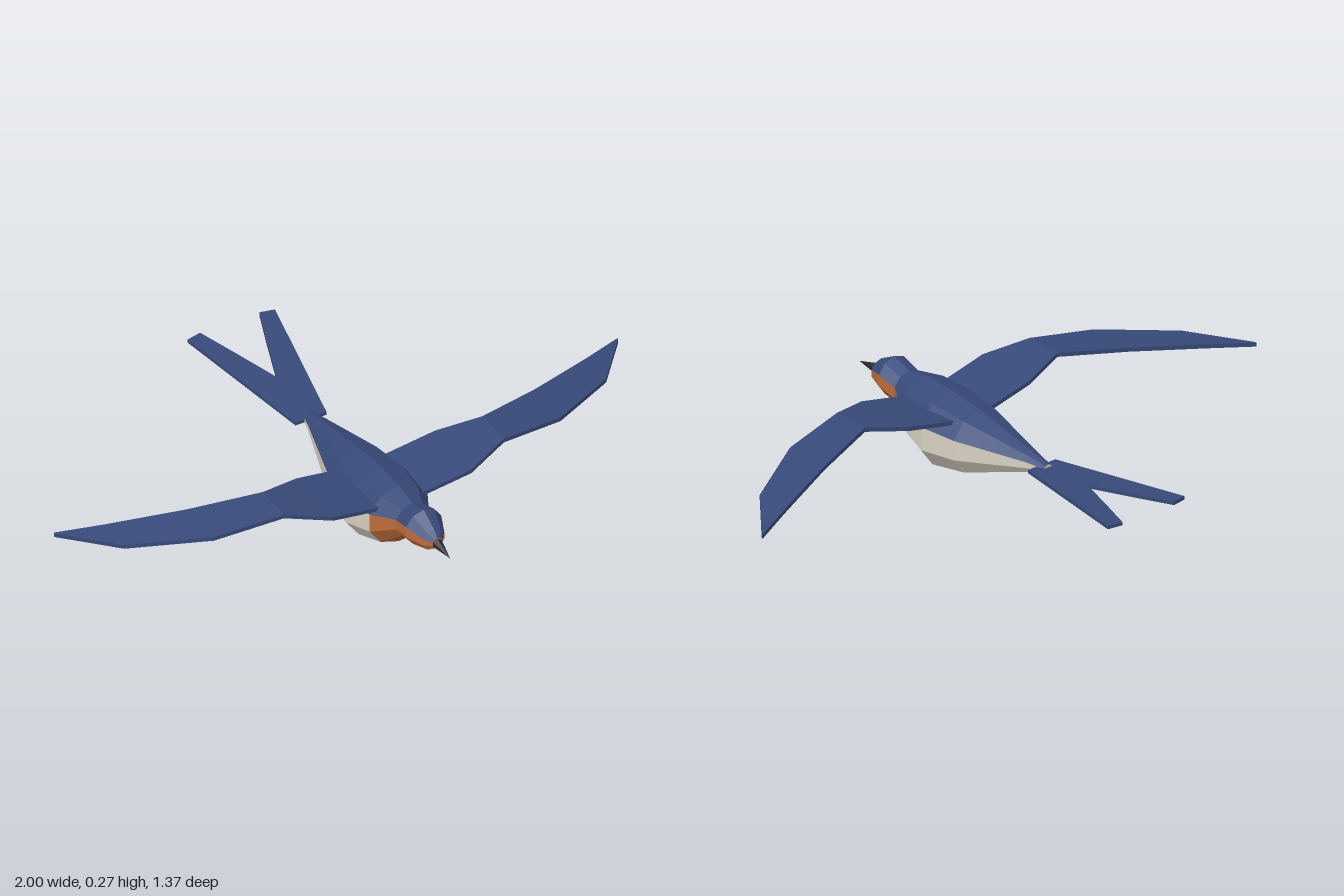
import * as THREE from 'three';

const mat = (color) => new THREE.MeshStandardMaterial({ color, flatShading: true });

// Flat-shaded mesh from quads (corners counter-clockwise from outside); flip for mirrored parts
function quadMesh(name, quads, material, flip = false) {
  const pos = [];
  for (const [a, b, c, d] of quads) {
    pos.push(...(flip ? [a, c, b, a, d, c] : [a, b, c, a, c, d]).flat());
  }
  const g = new THREE.BufferGeometry();
  g.setAttribute('position', new THREE.Float32BufferAttribute(pos, 3));
  g.computeVertexNormals();
  const mesh = new THREE.Mesh(g, material);
  mesh.name = name;
  return mesh;
}

// Thin plate from sections [front corner, back corner] running outwards along +x
function plate(name, sections, thickness, side, top, under) {
  const at = (p, dy) => [p[0] * side, p[1] + dy, p[2]];
  const up = (p) => at(p, thickness / 2), dn = (p) => at(p, -thickness / 2);
  const upper = [], lower = [];
  for (let i = 0; i + 1 < sections.length; i++) {
    const [f0, b0] = sections[i], [f1, b1] = sections[i + 1];
    upper.push([up(f0), up(f1), up(b1), up(b0)]);
    upper.push([dn(f0), dn(f1), up(f1), up(f0)], [up(b0), up(b1), dn(b1), dn(b0)]);
    lower.push([dn(b0), dn(b1), dn(f1), dn(f0)]);
  }
  const [fs, bs] = sections[0], [fe, be] = sections[sections.length - 1];
  upper.push([dn(bs), dn(fs), up(fs), up(bs)], [dn(fe), dn(be), up(be), up(fe)]);
  const group = new THREE.Group();
  group.name = name;
  group.add(quadMesh(name + 'Top', upper, top, side < 0), quadMesh(name + 'Underside', lower, under, side < 0));
  return group;
}

export function createModel() {
  const bird = new THREE.Group();
  bird.name = 'bird';
  const blue = mat(0x384a7a), rust = mat(0xbc6c3c), cream = mat(0xd8d0c2), dark = mat(0x2a2a2e);

  // Body: ten-sided rings [z, centre height, radius] from face to rump
  const rings = [
    [0.605, 0.197, 0.018], [0.582, 0.197, 0.04], [0.52, 0.204, 0.065], [0.45, 0.186, 0.061],
    [0.365, 0.153, 0.108], [0.25, 0.129, 0.129], [0.115, 0.133, 0.109],
    [-0.145, 0.159, 0.032], [-0.21, 0.161, 0.017],
  ];
  const N = 10;
  const vertex = ([z, y, r], k) => {
    const a = Math.PI / 2 - (k / N) * Math.PI * 2;
    return [Math.cos(a) * r, y + Math.sin(a) * r, z];
  };
  const back = [], throat = [], belly = [], chin = [];
  for (let i = 0; i + 1 < rings.length; i++) {
    for (let k = 0; k < N; k++) {
      const isTop = k < 2 || k > 7, isBottom = k === 4 || k === 5;
      const list = isTop ? back : i > 3 ? belly : isBottom && i < 3 ? chin : throat;
      list.push([vertex(rings[i], k), vertex(rings[i], k + 1), vertex(rings[i + 1], k + 1), vertex(rings[i + 1], k)]);
    }
  }
  // Face and rump end caps
  const first = rings[0], last = rings[rings.length - 1];
  for (let k = 0; k < N; k++) {
    const cf = [0, first[1], first[0]], cb = [0, last[1], last[0]];
    throat.push([cf, vertex(first, k + 1), vertex(first, k), cf]);
    belly.push([cb, vertex(last, k), vertex(last, k + 1), cb]);
  }
  bird.add(quadMesh('back', back, blue), quadMesh('throat', throat, rust),
    quadMesh('belly', belly, cream), quadMesh('chin', chin, cream));

  // Beak
  const beakGeo = new THREE.ConeGeometry(0.02, 0.095, 6);
  beakGeo.rotateX(Math.PI / 2 + 0.08);
  const beak = new THREE.Mesh(beakGeo, dark);
  beak.name = 'beak';
  beak.position.set(0, 0.192, 0.638);
  bird.add(beak);

  // Wing sections [x, height, front z, back z], bent at the wrist and swept to a point
  const wing = [
    [0.07, 0.205, 0.378, 0.15], [0.245, 0.238, 0.388, 0.16], [0.39, 0.267, 0.335, 0.202],
    [0.615, 0.238, 0.294, 0.13], [0.855, 0.207, 0.157, 0.035], [1, 0.189, -0.022, -0.027],
  ].map(([x, y, f, b]) => [[x, y, f], [x, y, b]]);
  // Forked tail feather, from the base to the tip
  const tail = [
    [[0, 0.16, -0.18], [0, 0.174, -0.395]],
    [[0.055, 0.16, -0.18], [0.055, 0.184, -0.55]],
    [[0.155, 0.192, -0.675], [0.105, 0.193, -0.685]],
  ];
  for (const [side, label] of [[1, 'left'], [-1, 'right']]) {
    bird.add(plate(label + 'Wing', wing, 0.014, side, blue, cream));
    bird.add(plate(label + 'TailFeather', tail, 0.012, side, blue, cream));
  }
  return bird;
}
